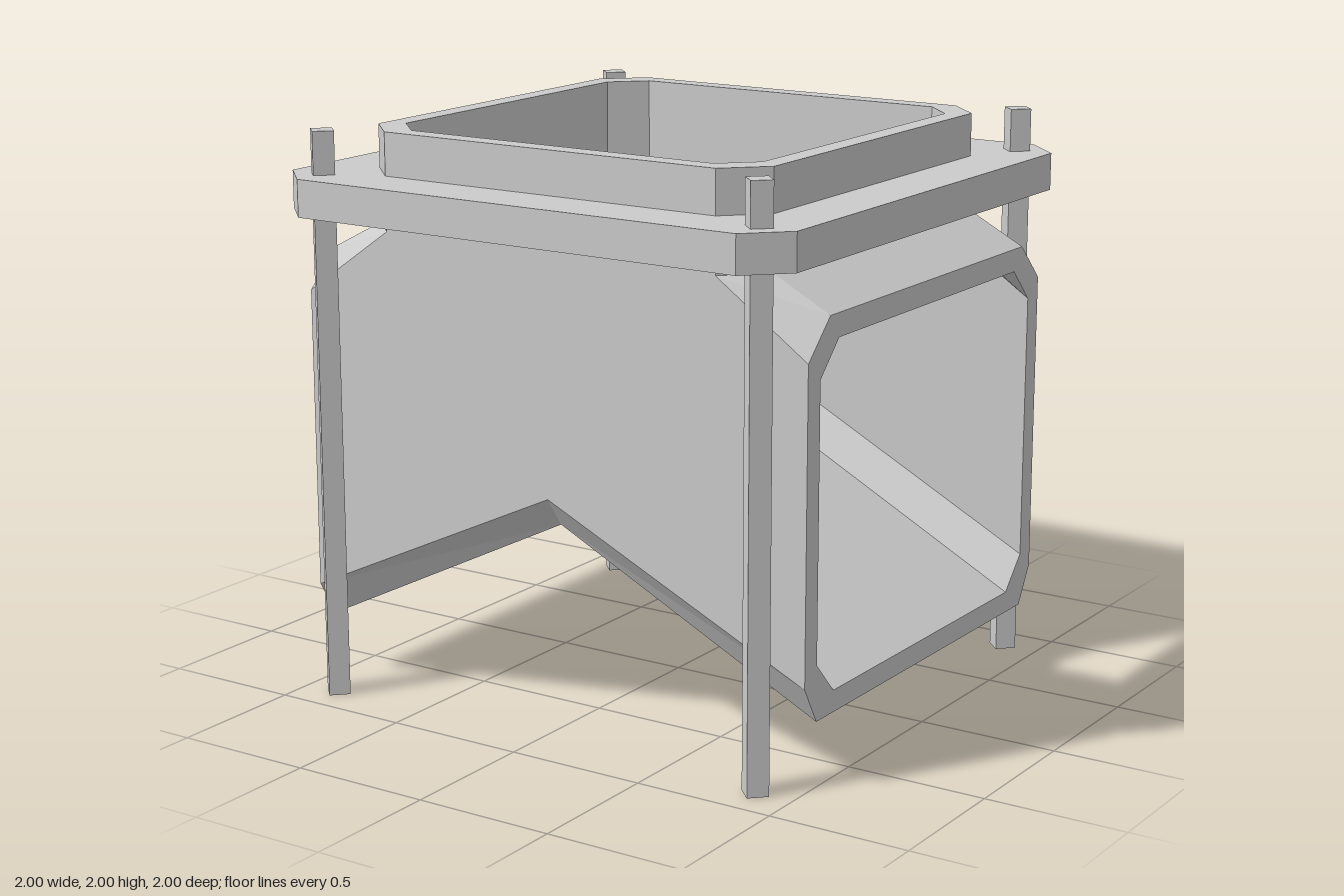
import * as THREE from 'three';

const TOP = 2;
const material = new THREE.MeshStandardMaterial({ color: 0xcccccc, flatShading: true });

// Half-chute skins: w wall, c chamfer start, neck = inlet base height,
// floor/bevel heights at the ridge (x = 0) and at the outlet (x = 1), b = floor half width
const OUTER = { w: 0.79, c: 0.658, b: 0.715, neck: 1.66, ridgeFloor: 0.72, ridgeWall: 0.825,
  endFloor: 0.225, endWall: 0.355, endSide: 1.42, endRoof: 1.55 };
const INNER = { w: 0.715, c: 0.602, b: 0.608, neck: 1.62, ridgeFloor: 0.825, ridgeWall: 0.935,
  endFloor: 0.30, endWall: 0.415, endSide: 1.355, endRoof: 1.47 };

// Faces of one quarter (x > 0, z > 0), wound to face outward
function quarterSkin({ w, c, b, neck, ridgeFloor, ridgeWall, endFloor, endWall, endSide, endRoof }) {
  return [
    [[0, ridgeWall, w], [1, endWall, w], [1, endSide, w], [c, neck, w], [c, TOP, w], [0, TOP, w]], // main wall
    [[c, neck, w], [w, neck, c], [w, TOP, c], [c, TOP, w]], // inlet corner
    [[w, neck, c], [w, neck, 0], [w, TOP, 0], [w, TOP, c]], // inlet side
    [[c, neck, w], [1, endSide, w], [1, endRoof, c], [w, neck, c]], // leg shoulder
    [[w, neck, c], [1, endRoof, c], [1, endRoof, 0], [w, neck, 0]], // leg roof
    [[0, ridgeFloor, b], [1, endFloor, b], [1, endWall, w], [0, ridgeWall, w]], // floor bevel
    [[0, ridgeFloor, 0], [1, endFloor, 0], [1, endFloor, b], [0, ridgeFloor, b]], // sloping floor
  ];
}

// Edge loops of one quarter, used for the rims
const outletEdge = (s) => [[1, s.endFloor, 0], [1, s.endFloor, s.b], [1, s.endWall, s.w],
  [1, s.endSide, s.w], [1, s.endRoof, s.c], [1, s.endRoof, 0]];
const inletEdge = (s) => [[0, TOP, s.w], [s.c, TOP, s.w], [s.w, TOP, s.c], [s.w, TOP, 0]];

function rim(a, b) {
  return a.slice(1).map((p, i) => [a[i], p, b[i + 1], b[i]]);
}

// Mirror a quarter's faces in x and z and fan them into triangles
function mirroredGeometry(faces) {
  const positions = [];
  for (const sx of [1, -1]) {
    for (const sz of [1, -1]) {
      for (const face of faces) {
        const pts = face.map(([x, y, z]) => [x * sx, y, z * sz]);
        if (sx * sz < 0) pts.reverse();
        // keep the fan centred on the face's first corner
        if (sx * sz < 0) pts.unshift(pts.pop());
        for (let i = 1; i < pts.length - 1; i++) positions.push(...pts[0], ...pts[i], ...pts[i + 1]);
      }
    }
  }
  const geometry = new THREE.BufferGeometry();
  geometry.setAttribute('position', new THREE.Float32BufferAttribute(positions, 3));
  geometry.computeVertexNormals();
  return geometry;
}

// Square outline with cut corners
function octagon(target, w, c) {
  target.setFromPoints([[c, -w], [w, -c], [w, c], [c, w], [-c, w], [-w, c], [-w, -c], [-c, -w]]
    .map(([x, y]) => new THREE.Vector2(x, y)));
  target.closePath();
  return target;
}

export function createModel() {
  const group = new THREE.Group();
  const add = (name, geometry) => {
    const mesh = new THREE.Mesh(geometry, material);
    mesh.name = name;
    group.add(mesh);
    return mesh;
  };

  // Two-way chute with an inlet on top and an outlet at each side
  add('chuteOuterSkin', mirroredGeometry(quarterSkin(OUTER)));
  add('chuteInnerSkin', mirroredGeometry(quarterSkin(INNER).map((f) => f.reverse())));
  add('inletRim', mirroredGeometry(rim(inletEdge(OUTER), inletEdge(INNER))));
  add('outletRims', mirroredGeometry(rim(outletEdge(INNER), outletEdge(OUTER))
    .map(([i0, i1, o1, o0]) => [o0, i0, i1, o1])));

  // Mounting flange around the inlet
  const plate = octagon(new THREE.Shape(), 1, 0.865);
  plate.holes.push(octagon(new THREE.Path(), OUTER.w, OUTER.c));
  const flange = new THREE.ExtrudeGeometry(plate, { depth: 0.13, bevelEnabled: false });
  flange.rotateX(-Math.PI / 2).translate(0, 1.72, 0);
  add('flange', flange);

  // Hanger rods through the flange corners
  for (const x of [-0.865, 0.865]) {
    for (const z of [-0.865, 0.865]) {
      add('hangerRod', new THREE.CylinderGeometry(0.052, 0.052, 2, 4)).position.set(x, 1, z);
    }
  }
  return group;
}
